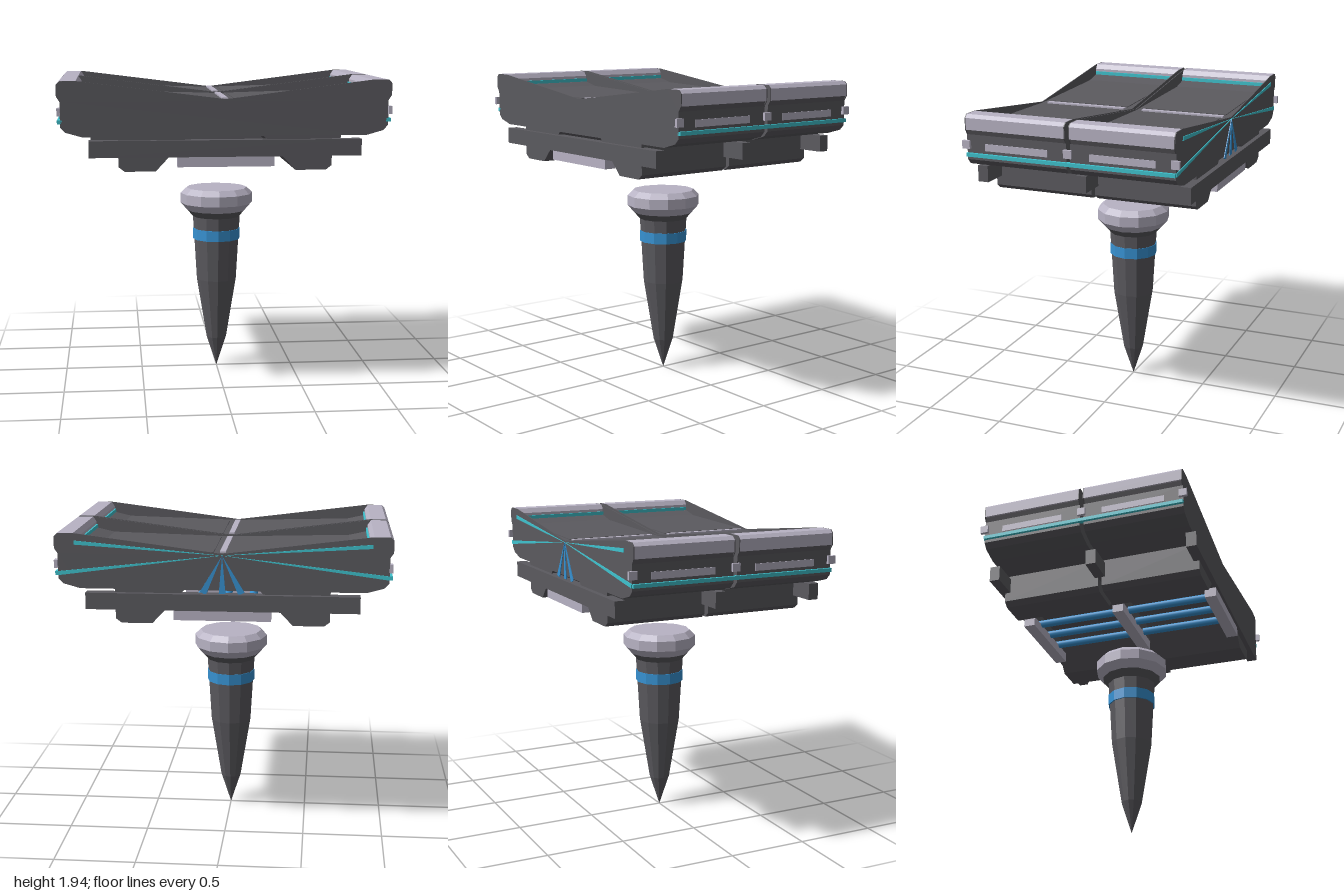
import * as THREE from 'three';

const mat = (name, color) => {
  const m = new THREE.MeshStandardMaterial({ color });
  m.name = name;
  return m;
};

export function createModel() {
  const dark = mat('dark grey', 0x5b5a5f);
  const light = mat('pale grey', 0xb8b3c4);
  const teal = mat('teal', 0x3fc3cf);
  const blue = mat('blue', 0x3792d2);
  const root = new THREE.Group();

  const add = (parent, name, geo, material) => {
    const m = new THREE.Mesh(geo, material);
    m.name = name;
    parent.add(m);
    return m;
  };
  const box = (parent, name, material, [w, h, d], [x, y, z]) => {
    const m = add(parent, name, new THREE.BoxGeometry(w, h, d), material);
    m.position.set(x, y, z);
    return m;
  };
  // Extrudes an x-y outline from z0 to z1
  const extrude = (parent, name, material, pts, z0, z1) => {
    const shape = new THREE.Shape(pts.map(([x, y]) => new THREE.Vector2(x, y)));
    const geo = new THREE.ExtrudeGeometry(shape, { depth: z1 - z0, bevelEnabled: false });
    geo.translate(0, 0, z0);
    return add(parent, name, geo, material);
  };
  const flip = (pts, s) => pts.map(([x, y]) => [x * s, y]);
  // Closes a right-hand half outline into a symmetric one
  const mirror = (half) => [...half, ...flip(half, -1).reverse()];

  const side = [[1, 1.92], [1, 1.85], [0.98, 1.82], [0.98, 1.67], [0.95, 1.638], [0.85, 1.61]];
  const wallOutline = [[0, 1.83], ...mirror([[0.88, 1.94], [0.98, 1.94], ...side])];
  const bodyOutline = [[0, 1.825], ...mirror([
    [0.75, 1.845], [0.86, 1.87], [0.88, 1.85], [0.99, 1.849], ...side.slice(2)])];
  const railOutline = [[0.865, 1.86], [0.865, 1.91], [0.885, 1.94], [0.98, 1.94],
    [1, 1.92], [1, 1.85], [0.88, 1.85]];
  const footOutline = [[0.64, 1.611], [0.64, 1.43], [0.605, 1.403], [0.42, 1.403], [0.225, 1.611]];

  // Two identical platform modules with a narrow gap between them
  for (const [name, a, b] of [['frontModule', 0.012, 0.65], ['backModule', -0.65, -0.012]]) {
    const g = new THREE.Group();
    g.name = name;
    root.add(g);
    const t = 0.006, mid = (a + b) / 2;
    extrude(g, 'deckBody', dark, bodyOutline, a + t, b - t);
    extrude(g, 'endWall', dark, wallOutline, a, a + t);
    extrude(g, 'endWall', dark, wallOutline, b - t, b);
    box(g, 'centreStrip', light, [0.035, 0.02, 0.54], [0, 1.825, mid]);
    for (const s of [-1, 1]) {
      extrude(g, 'sideRail', light, flip(railOutline, s), a + t, b - t);
      extrude(g, 'foot', dark, flip(footOutline, s), a, b);
      const panel = box(g, 'deckPanel', dark, [0.69, 0.008, 0.535], [s * 0.4, 1.836, mid]);
      panel.rotation.z = s * Math.atan(0.02 / 0.75);
      box(g, 'sidePanel', light, [0.008, 0.042, 0.4], [s * 0.981, 1.75, mid]);
    }
  }

  // Continuous side trim and small side blocks
  for (const s of [-1, 1]) {
    box(root, 'outerTrim', teal, [0.03, 0.022, 1.3], [s * 0.983, 1.7, 0]);
    box(root, 'innerTrim', teal, [0.012, 0.022, 1.28], [s * 0.861, 1.882, 0]);
    for (const z of [-0.65, 0, 0.65])
      box(root, 'sideBlock', light, [0.02, 0.048, 0.05], [s * 0.988, 1.76, z]);
  }

  // Cross beams, lower bars and pipes under the deck
  for (const z of [-0.648, 0, 0.648])
    box(root, 'crossBeam', dark, [1.63, 0.1, 0.066], [0, 1.54, z]);
  for (const z of [-0.627, 0, 0.627])
    box(root, 'lowerBar', light, [0.58, 0.063, 0.075], [0, 1.46, z]);
  for (const x of [-0.16, 0, 0.16]) {
    const pipe = add(root, 'pipe', new THREE.CylinderGeometry(0.025, 0.025, 1.25, 10), blue);
    pipe.rotation.x = Math.PI / 2;
    pipe.position.set(x, 1.5, 0);
  }

  // Tapered rays painted on the back wall
  const ray = (name, material, x, y, w) => {
    const len = Math.hypot(x, y - 1.82);
    const nx = -(y - 1.82) / len * w / 2, ny = x / len * w / 2;
    extrude(root, name, material,
      [[0, 1.82], [x + nx, y + ny], [x - nx, y - ny]], -0.655, -0.65);
  };
  for (const s of [-1, 1]) {
    ray('upperRay', teal, s * 0.88, 1.885, 0.024);
    ray('lowerRay', teal, s * 0.98, 1.7, 0.024);
  }
  for (const x of [-0.115, 0, 0.115]) ray('fanRay', blue, x, 1.592, 0.04);

  // Faceted spike hanging free below the platform
  const lathe = (name, material, pts) => {
    const geo = new THREE.LatheGeometry(pts.map(([r, y]) => new THREE.Vector2(r, y)), 12).toNonIndexed();
    geo.computeVertexNormals();
    add(root, name, geo, material);
  };
  lathe('spike', dark, [[0, 0], [0.065, 0.2], [0.13, 0.6], [0.146, 0.88], [0.15, 0.94],
    [0.155, 1.02], [0.192, 1.062]]);
  lathe('spikeBand', blue, [[0.14, 0.87], [0.154, 0.87], [0.154, 0.94], [0.14, 0.94]]);
  lathe('spikeCollar', light, [[0.192, 1.062], [0.235, 1.11], [0.235, 1.175], [0.198, 1.21], [0, 1.21]]);

  return root;
}
